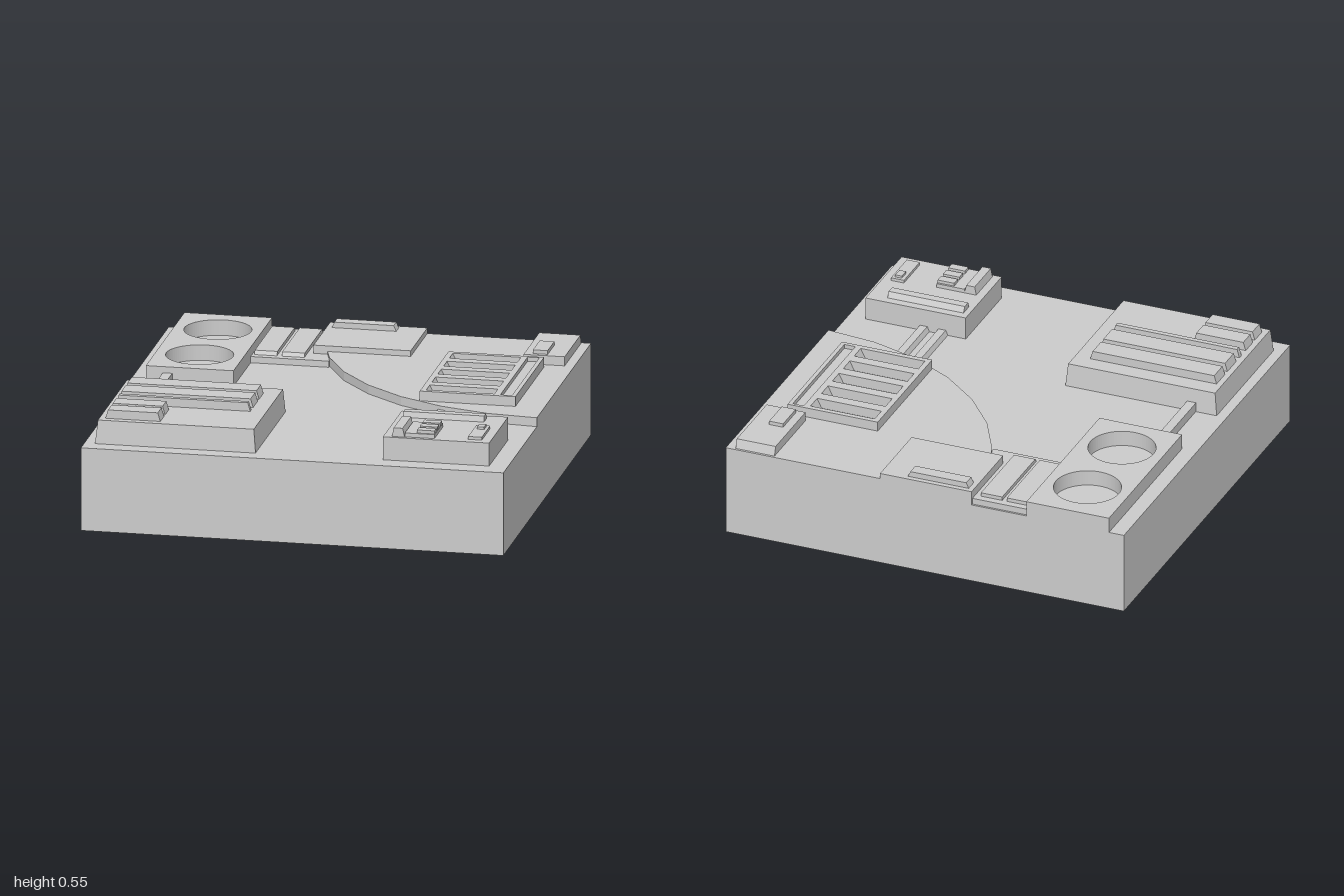
import * as THREE from 'three';

const material = new THREE.MeshStandardMaterial({ color: 0xcccccc, flatShading: true });

export function createModel() {
  const model = new THREE.Group();

  function add(name, geometry) {
    const mesh = new THREE.Mesh(geometry, material);
    mesh.name = name;
    model.add(mesh);
    return mesh;
  }

  // Box between two corners; the top edge may be inset on each side: [left x, right x, back z, front z]
  function block(name, [x0, x1], [y0, y1], [z0, z1], [l, r, b, f] = [0, 0, 0, 0]) {
    const geometry = new THREE.BoxGeometry(x1 - x0, y1 - y0, z1 - z0);
    geometry.translate((x0 + x1) / 2, (y0 + y1) / 2, (z0 + z1) / 2);
    const p = geometry.attributes.position;
    const mx = (x0 + x1) / 2, my = (y0 + y1) / 2, mz = (z0 + z1) / 2;
    for (let i = 0; i < p.count; i++) {
      if (p.getY(i) < my) continue;
      const x = p.getX(i), z = p.getZ(i);
      p.setX(i, x < mx ? x + l : x - r);
      p.setZ(i, z < mz ? z + b : z - f);
    }
    geometry.computeVertexNormals();
    return add(name, geometry);
  }

  // Flat outline in x and z, extruded between two heights
  function slab(name, shape, y0, y1, curveSegments = 16) {
    const geometry = new THREE.ExtrudeGeometry(shape, { depth: y1 - y0, bevelEnabled: false, curveSegments });
    geometry.rotateX(Math.PI / 2).translate(0, y1, 0);
    return add(name, geometry);
  }

  const rect = (x0, x1, z0, z1) => [[x0, z0], [x1, z0], [x1, z1], [x0, z1]].map(([x, z]) => new THREE.Vector2(x, z));

  // Base
  block('base', [-1, 1], [0, 0.4], [-1, 1]);

  // Raised quarter disc in the back corner
  const disc = [new THREE.Vector2(1, -1)];
  for (let i = 0; i <= 8; i++) {
    const a = Math.PI / 2 * (i / 8);
    disc.push(new THREE.Vector2(1 - 1.235 * Math.sin(a), -1 + 1.235 * Math.cos(a)));
  }
  slab('quarterDisc', new THREE.Shape(disc), 0.4, 0.443);

  // Front left block with its ribs
  block('ribbedBlock', [-0.95, -0.19], [0.4, 0.512], [0.235, 0.92], [0.012, 0.01, 0.01, 0.01]);
  for (const [x1, z0, z1] of [
    [-0.275, 0.33, 0.43], [-0.275, 0.46, 0.565], [-0.275, 0.605, 0.63],
    [-0.65, 0.68, 0.765], [-0.65, 0.79, 0.875],
  ]) block('rib', [-0.91, x1], [0.512, 0.553], [z0, z1], [0.012, 0.012, 0, 0]);

  // Back left plate with two round wells, and the conduit leading forward
  const wells = new THREE.Shape(rect(-0.925, -0.51, -1, -0.12));
  for (const z of [-0.76, -0.345]) {
    const well = new THREE.Path();
    well.absarc(-0.717, z, 0.158, 0, Math.PI * 2, true);
    wells.holes.push(well);
  }
  slab('wellPlate', wells, 0.4, 0.475, 40);
  block('conduit', [-0.845, -0.8], [0.4, 0.445], [-0.12, 0.25]);

  // Low plate with two long panels
  block('lowPlate', [-0.51, -0.14], [0.4, 0.43], [-0.99, -0.51]);
  for (const x of [-0.5, -0.37])
    block('longPanel', [x, x + 0.107], [0.43, 0.448], [-0.955, -0.545], [0, 0, 0, 0.012]);

  // Back middle plate and its bar
  block('backPlate', [-0.235, 0.225], [0.4, 0.47], [-1, -0.62]);
  block('backBar', [-0.21, 0.095], [0.47, 0.497], [-0.975, -0.915], [0.012, 0.012, 0, 0]);

  // Grille frame with five slots and one side channel
  const grille = new THREE.Shape(rect(0.412, 0.865, -0.58, 0.075));
  for (let i = 0; i < 5; i++) {
    const z = -0.515 + 0.131 * i;
    grille.holes.push(new THREE.Path(rect(0.438, 0.76, z - 0.04, z + 0.04)));
    // Sloped ends inside the slot
    block('slotRamp', [0.438, 0.46], [0.443, 0.488], [z - 0.04, z + 0.04], [0, 0.022, 0, 0]);
    block('slotRamp', [0.738, 0.76], [0.443, 0.488], [z - 0.04, z + 0.04], [0.022, 0, 0, 0]);
  }
  grille.holes.push(new THREE.Path(rect(0.79, 0.845, -0.565, 0.055)));
  slab('grilleFrame', grille, 0.443, 0.49);
  block('channelFloor', [0.79, 0.845], [0.443, 0.47], [-0.565, 0.055]);

  // Back right plate and its button
  block('cornerPlate', [0.76, 0.955], [0.44, 0.487], [-0.99, -0.615], [0, 0, 0.015, 0]);
  block('cornerButton', [0.8, 0.87], [0.487, 0.505], [-0.79, -0.637]);

  // Front right console
  block('console', [0.41, 0.913], [0.4, 0.511], [0.473, 0.905]);
  block('consoleBar', [0.438, 0.82], [0.511, 0.538], [0.513, 0.577], [0, 0, 0.015, 0.008]);
  block('consoleRidge', [0.45, 0.51], [0.511, 0.553], [0.695, 0.89], [0.008, 0.01, 0, 0]);
  block('keypad', [0.51, 0.65], [0.511, 0.53], [0.695, 0.885]);
  for (const z of [0.705, 0.768, 0.832])
    block('key', [0.565, 0.648], [0.53, 0.545], [z, z + 0.043]);
  block('switchPlate', [0.805, 0.87], [0.511, 0.525], [0.675, 0.865]);
  block('switchButton', [0.822, 0.855], [0.525, 0.536], [0.69, 0.74]);

  // Pair of ducts joining the console to the disc
  for (const x of [0.5, 0.593])
    block('duct', [x, x + 0.057], [0.4, 0.425], [0.12, 0.475], [0.01, 0.01, 0, 0]);

  return model;
}
